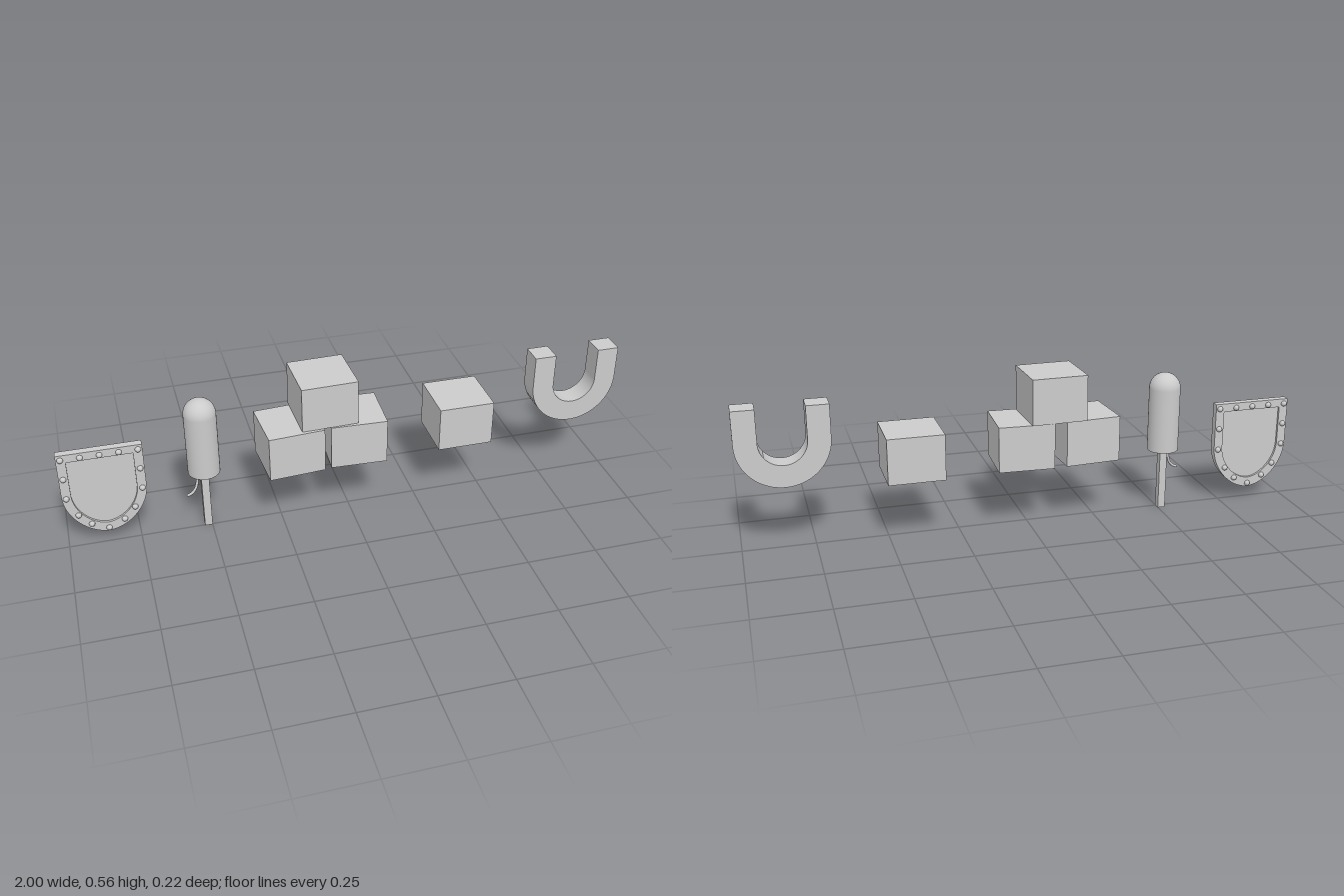
import * as THREE from 'three';

export function createModel() {
  const root = new THREE.Group();
  const material = new THREE.MeshStandardMaterial({ color: 0xcccccc });
  const add = (name, geometry, x = 0, y = 0, z = 0, parent = root) => {
    const mesh = new THREE.Mesh(geometry, material);
    mesh.name = name;
    mesh.position.set(x, y, z);
    parent.add(mesh);
    return mesh;
  };
  const extrude = (shape, depth) => {
    const geometry = new THREE.ExtrudeGeometry(shape, { depth, bevelEnabled: false, curveSegments: 24 });
    return geometry.translate(0, 0, -depth / 2);
  };

  // Shield: raised rim around a recessed panel, studs on both sides
  const shield = new THREE.Group();
  shield.name = 'shield';
  shield.position.set(-0.857, 0, -0.0095);
  root.add(shield);

  const shieldOutline = (path, half, top, shoulder, bottom) => {
    const drop = shoulder - bottom;
    path.moveTo(half, top);
    path.lineTo(-half, top);
    path.lineTo(-half, shoulder);
    path.bezierCurveTo(-half, shoulder - drop * 0.52, -half * 0.5, bottom + drop * 0.02, 0, bottom);
    path.bezierCurveTo(half * 0.5, bottom + drop * 0.02, half, shoulder - drop * 0.52, half, shoulder);
    path.closePath();
    return path;
  };
  const inner = [0.111, 0.35, 0.215, 0.083];
  const rim = shieldOutline(new THREE.Shape(), 0.143, 0.38, 0.215, 0.047);
  rim.holes.push(shieldOutline(new THREE.Path(), ...inner));
  add('shieldRim', extrude(rim, 0.027), 0, 0, 0, shield);
  add('shieldPanel', extrude(shieldOutline(new THREE.Shape(), ...inner), 0.01), 0, 0, 0, shield);

  const stud = new THREE.SphereGeometry(0.0105, 16, 12);
  const studSpots = [
    [0, 0.362], [0.064, 0.362], [0.128, 0.362], [0.128, 0.285],
    [0.128, 0.205], [0.096, 0.131], [0.056, 0.087], [0, 0.06],
  ];
  for (const [x, y] of studSpots) {
    for (const side of x ? [-1, 1] : [1]) {
      for (const z of [-0.0135, 0.0135]) add('shieldStud', stud, x * side, y, z, shield);
    }
  }

  // Rocket: round-nosed tube, square stick and curved fuse
  const rocket = new THREE.Group();
  rocket.name = 'rocket';
  rocket.position.set(-0.513, 0, -0.01);
  root.add(rocket);

  const r = 0.056;
  add('rocketTube', new THREE.CylinderGeometry(r, r, 0.232, 40, 1), 0, 0.342, 0, rocket);
  add('rocketNose', new THREE.SphereGeometry(r, 40, 12, 0, Math.PI * 2, 0, Math.PI / 2), 0, 0.458, 0, rocket);
  add('rocketStick', new THREE.BoxGeometry(0.027, 0.235, 0.027), 0, 0.1175, 0, rocket);
  const fuse = new THREE.CubicBezierCurve3(
    new THREE.Vector3(-0.026, 0.235, 0.01),
    new THREE.Vector3(-0.026, 0.19, 0.012),
    new THREE.Vector3(-0.03, 0.155, 0.016),
    new THREE.Vector3(-0.064, 0.145, 0.018),
  );
  add('rocketFuse', new THREE.TubeGeometry(fuse, 16, 0.005, 10), 0, 0, 0, rocket);
  add('rocketFuseTip', new THREE.SphereGeometry(0.005, 10, 8), -0.064, 0.145, 0.018, rocket);

  // Crates: a loose stack of three and one standing alone
  const crate = new THREE.BoxGeometry(0.198, 0.163, 0.198);
  const crates = [
    ['leftCrate', -0.212, 0.309, 0.007, 0.07],
    ['rightCrate', 0.02, 0.309, -0.001, -0.045],
    ['topCrate', -0.088, 0.4735, -0.008, 0.03],
    ['singleCrate', 0.411, 0.309, -0.012, 0],
  ];
  for (const [name, x, y, z, turn] of crates) add(name, crate, x, y, z).rotation.y = turn;

  // Horseshoe: half ring with two straight arms
  const outerR = 0.159, innerR = 0.081, armTop = 0.118;
  const shoe = new THREE.Shape();
  shoe.moveTo(-outerR, armTop);
  shoe.lineTo(-outerR, 0);
  shoe.absarc(0, 0, outerR, Math.PI, Math.PI * 2, false);
  shoe.lineTo(outerR, armTop);
  shoe.lineTo(innerR, armTop);
  shoe.lineTo(innerR, 0);
  shoe.absarc(0, 0, innerR, Math.PI * 2, Math.PI, true);
  shoe.lineTo(-innerR, armTop);
  shoe.closePath();
  add('horseshoe', extrude(shoe, 0.079), 0.841, 0.393, -0.0095);

  return root;
}
